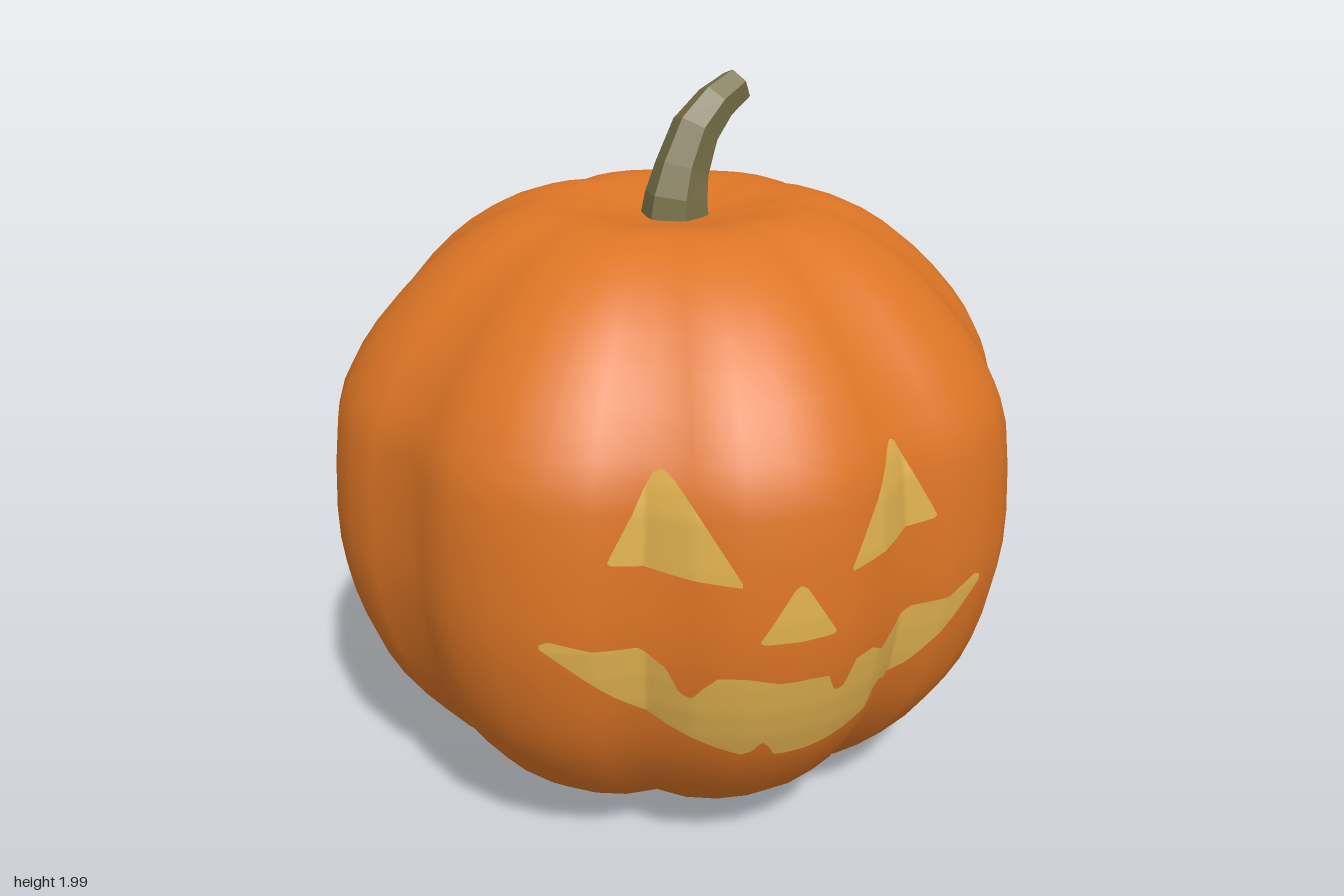
import * as THREE from 'three';
import { mergeVertices } from 'three/addons/utils/BufferGeometryUtils.js';

const SEGMENTS = 48; // six facets on each of the eight lobes
const v2 = ([x, y]) => new THREE.Vector2(x, y);
const lerp = THREE.MathUtils.lerp;

// Outline of a lobe crest, from the underside to the dimple on top
const profile = new THREE.SplineCurve([
  [0, 0.03], [0.14, 0.015], [0.28, 0.003], [0.39, 0.028], [0.566, 0.095], [0.725, 0.21],
  [0.857, 0.38], [0.925, 0.53], [0.965, 0.7], [0.976, 0.87], [0.953, 1.13], [0.905, 1.25],
  [0.83, 1.365], [0.7, 1.5], [0.566, 1.595], [0.434, 1.65], [0.32, 1.66], [0.18, 1.635], [0, 1.61],
].map(v2)).getPoints(36);

// Piecewise-linear lookup of y at x
function lookup(points, x) {
  for (let i = 1; i < points.length; i++) {
    const [a, b] = [points[i - 1], points[i]];
    if (x <= b[0]) return lerp(a[1], b[1], THREE.MathUtils.clamp((x - a[0]) / (b[0] - a[0]), 0, 1));
  }
  return points[points.length - 1][1];
}

// Radius factor around the body: rounded crests, narrow valleys
const lobe = (a) => 0.911 + 0.089 * Math.pow(Math.abs(Math.cos(4 * a)), 0.75);
function facetLobe(a) {
  const step = (Math.PI * 2) / SEGMENTS;
  const i = Math.floor(a / step);
  return lerp(lobe(i * step), lobe((i + 1) * step), a / step - i);
}

// Depth of the front surface at (x, y), found by bisection
const radiusTable = profile.filter((p) => p.y > 0.2 && p.y < 1.5).map((p) => [p.y, p.x]);
function frontDepth(x, y, lift) {
  const r = lookup(radiusTable, y);
  let lo = 0.3, hi = 1.1;
  for (let i = 0; i < 30; i++) {
    const z = (lo + hi) / 2;
    if (Math.hypot(x, z) < r * facetLobe(Math.atan2(x, z)) + lift) lo = z;
    else hi = z;
  }
  return lo;
}

function makeBody(material) {
  const lathe = new THREE.LatheGeometry(profile.map((p) => new THREE.Vector2(Math.max(p.x, 0), Math.max(p.y, 0))), SEGMENTS);
  const pos = lathe.attributes.position;
  for (let i = 0; i < pos.count; i++) {
    const k = lobe(Math.atan2(pos.getX(i), pos.getZ(i)));
    pos.setXYZ(i, pos.getX(i) * k, pos.getY(i), pos.getZ(i) * k);
  }
  lathe.deleteAttribute('uv');
  lathe.deleteAttribute('normal');
  const geometry = mergeVertices(lathe, 1e-5);
  geometry.computeVertexNormals();
  return new THREE.Mesh(geometry, material);
}

// Thin patch between an upper and a lower edge, laid over the body
function makePatch(upper, lower, material) {
  const x0 = upper[0][0], x1 = upper[upper.length - 1][0];
  const geometry = new THREE.PlaneGeometry(1, 1, Math.ceil((x1 - x0) / 0.008), 12);
  const pos = geometry.attributes.position;
  for (let i = 0; i < pos.count; i++) {
    const x = lerp(x0, x1, pos.getX(i) + 0.5);
    const y = lerp(lookup(lower, x), lookup(upper, x), pos.getY(i) + 0.5);
    pos.setXYZ(i, x, y, frontDepth(x, y, 0.005));
  }
  geometry.computeVertexNormals();
  return new THREE.Mesh(geometry, material);
}

// Six-sided stem bent along a curve and tapering to a cut tip
function makeStem(material) {
  const path = new THREE.CatmullRomCurve3([
    [0, 1.59, 0], [0.005, 1.67, 0], [0.026, 1.745, -0.012], [0.07, 1.845, -0.03],
    [0.135, 1.91, -0.052], [0.207, 1.95, -0.08],
  ].map((p) => new THREE.Vector3(...p)));
  const radii = [[0, 0.1], [0.2, 0.088], [0.4, 0.076], [0.6, 0.068], [0.8, 0.058], [1, 0.05]];
  const geometry = new THREE.CylinderGeometry(1, 1, 1, 6, 5);
  const pos = geometry.attributes.position;
  const up = new THREE.Vector3(0, 1, 0);
  const turn = new THREE.Quaternion();
  for (let i = 0; i < pos.count; i++) {
    const t = THREE.MathUtils.clamp(pos.getY(i) + 0.5, 0, 1);
    const r = lookup(radii, t);
    turn.setFromUnitVectors(up, path.getTangent(t));
    const p = new THREE.Vector3(pos.getX(i) * r, 0, pos.getZ(i) * r).applyQuaternion(turn).add(path.getPoint(t));
    pos.setXYZ(i, p.x, p.y, p.z);
  }
  geometry.computeVertexNormals();
  return new THREE.Mesh(geometry, material);
}

export function createModel() {
  const orange = new THREE.MeshStandardMaterial({ color: 0xdd7525 });
  orange.name = 'orange skin';
  const yellow = new THREE.MeshStandardMaterial({ color: 0xdfb04f });
  yellow.name = 'yellow glow';
  const olive = new THREE.MeshStandardMaterial({ color: 0x777048, flatShading: true });
  olive.name = 'olive stem';

  const model = new THREE.Group();
  model.name = 'pumpkin';
  const add = (name, mesh) => {
    mesh.name = name;
    model.add(mesh);
  };

  add('body', makeBody(orange));
  add('stem', makeStem(olive));

  // Eyes, mirrored about the centre
  const eyeTop = [[0.14, 0.985], [0.268, 1.215], [0.288, 1.237], [0.308, 1.225], [0.422, 1.03], [0.428, 1.018]];
  const eyeBottom = [[0.14, 0.973], [0.42, 1.008], [0.428, 1.014]];
  const mirror = (points) => points.map(([x, y]) => [-x, y]).reverse();
  add('leftEye', makePatch(eyeTop, eyeBottom, yellow));
  add('rightEye', makePatch(mirror(eyeTop), mirror(eyeBottom), yellow));

  add('nose', makePatch(
    [[-0.096, 0.832], [-0.015, 0.96], [0, 0.968], [0.015, 0.96], [0.096, 0.832]],
    [[-0.096, 0.825], [-0.085, 0.82], [0.085, 0.82], [0.096, 0.825]], yellow));

  // Grin with toothed edges
  add('mouth', makePatch([
    [-0.59, 0.8], [-0.57, 0.81], [-0.47, 0.785], [-0.36, 0.783], [-0.3, 0.735], [-0.27, 0.668],
    [-0.245, 0.656], [-0.225, 0.688], [-0.19, 0.725], [-0.125, 0.725], [-0.045, 0.704], [0.035, 0.704],
    [0.087, 0.698], [0.108, 0.645], [0.135, 0.65], [0.167, 0.72], [0.22, 0.73], [0.26, 0.704],
    [0.315, 0.735], [0.368, 0.772], [0.484, 0.772], [0.57, 0.81], [0.59, 0.8],
  ], [
    [-0.59, 0.788], [-0.415, 0.64], [-0.283, 0.55], [-0.177, 0.492], [-0.114, 0.466], [-0.087, 0.476],
    [-0.066, 0.508], [-0.045, 0.487], [-0.029, 0.455], [0.06, 0.455], [0.167, 0.48], [0.24, 0.513],
    [0.257, 0.571], [0.283, 0.582], [0.31, 0.56], [0.378, 0.587], [0.484, 0.672], [0.59, 0.783],
  ], yellow));

  return model;
}
